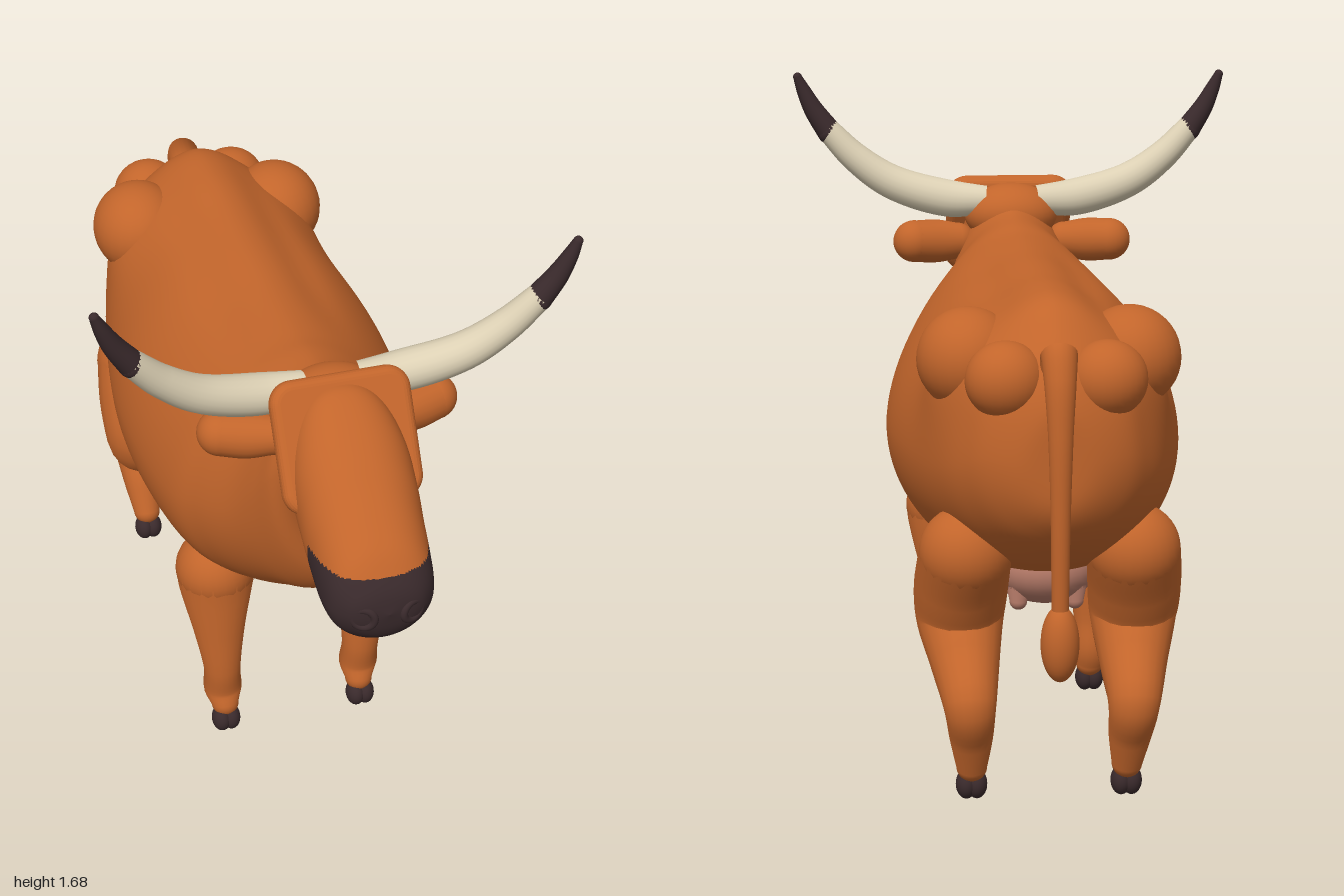
import * as THREE from 'three';

const mat = (name, color) => {
  const m = new THREE.MeshStandardMaterial({ color });
  m.name = name;
  return m;
};

// Smooth closed skin through sections [z, top, widest height, bottom, half width];
// power squares off (<1) or slims (>1) the upper half, shape moves a point, isSecond picks the second material
function loft(sections, rings, sides, { power = 1, shape = (x, y) => [x, y], isSecond = () => false }) {
  const curve = (...k) => new THREE.CatmullRomCurve3(
    sections.map(s => new THREE.Vector3(...k.map(i => s[i]))), false, 'catmullrom');
  const a = curve(0, 1, 2), b = curve(0, 3, 4);
  const pos = [], first = [], second = [];
  for (let i = 0; i <= rings; i++) {
    const p = a.getPoint(i / rings), q = b.getPoint(i / rings);
    for (let j = 0; j < sides; j++) {
      const t = j / sides * Math.PI * 2, c = Math.cos(t), s = Math.sin(t), e = s > 0 ? power : 1;
      const x = q.z * Math.sign(c) * Math.abs(c) ** e;
      const y = p.z + (s > 0 ? p.y - p.z : p.z - q.y) * Math.sign(s) * Math.abs(s) ** e;
      pos.push(...shape(x, y, p.x), p.x);
    }
  }
  const put = (...tri) => {
    const mean = k => (pos[tri[0] * 3 + k] + pos[tri[1] * 3 + k] + pos[tri[2] * 3 + k]) / 3;
    (isSecond(mean(1), mean(2)) ? second : first).push(...tri);
  };
  for (let i = 0; i < rings; i++) for (let j = 0; j < sides; j++) {
    const k = (j + 1) % sides, o = i * sides, n = o + sides;
    put(o + j, o + k, n + j);
    put(o + k, n + k, n + j);
  }
  const g = new THREE.BufferGeometry();
  g.setAttribute('position', new THREE.Float32BufferAttribute(pos, 3));
  g.setIndex([...first, ...second]);
  g.addGroup(0, first.length, 0);
  g.addGroup(first.length, second.length, 1);
  g.computeVertexNormals();
  return g;
}

// Tube through points [x, y, z, radius]
function taperTube(pts, n = 32, sides = 20) {
  const path = new THREE.CatmullRomCurve3(pts.map(p => new THREE.Vector3(p[0], p[1], p[2])));
  const radii = new THREE.CatmullRomCurve3(pts.map((p, i) => new THREE.Vector3(p[3], i, 0)), false, 'catmullrom');
  const g = new THREE.TubeGeometry(path, n, 1, sides), pos = g.attributes.position;
  const v = new THREE.Vector3();
  for (let i = 0; i <= n; i++) {
    const c = path.getPointAt(i / n), r = radii.getPoint(path.getUtoTmapping(i / n)).x;
    for (let j = 0; j <= sides; j++) {
      const k = i * (sides + 1) + j;
      v.fromBufferAttribute(pos, k).sub(c).multiplyScalar(r).add(c);
      pos.setXYZ(k, v.x, v.y, v.z);
    }
  }
  return g;
}

// Rounded plate, centred, with softened rims
function roundedPlate(w, h, depth, r, bevel) {
  const x = w / 2 - bevel, y = h / 2 - bevel, s = new THREE.Shape();
  s.absarc(x - r, y - r, r, 0, Math.PI / 2);
  s.absarc(r - x, y - r, r, Math.PI / 2, Math.PI);
  s.absarc(r - x, r - y, r, Math.PI, Math.PI * 1.5);
  s.absarc(x - r, r - y, r, Math.PI * 1.5, Math.PI * 2);
  return new THREE.ExtrudeGeometry(s, {
    depth: depth - 2 * bevel, bevelSize: bevel, bevelThickness: bevel, bevelSegments: 5, curveSegments: 8,
  }).translate(0, 0, bevel - depth / 2);
}

export function createModel() {
  const model = new THREE.Group();
  model.name = 'longhornCow';
  const hide = mat('russet hide', 0xc2652b), dark = mat('dark horn and muzzle', 0x3a2a2c);
  const ivory = mat('ivory horn', 0xdcd0b4), pink = mat('udder pink', 0xb57a68);

  const add = (name, geo, material) => {
    const m = new THREE.Mesh(geo, material);
    m.name = name;
    model.add(m);
    return m;
  };
  const ball = (name, material, [x, y, z], [rx, ry, rz]) => {
    const m = add(name, new THREE.SphereGeometry(1, 28, 20), material);
    m.position.set(x, y, z);
    m.scale.set(rx, ry, rz);
  };
  const limb = (name, pts, material) => {
    add(name, taperTube(pts), material);
    for (const [x, y, z, r] of [pts[0], pts[pts.length - 1]]) ball(name + 'End', material, [x, y, z], [r, r, r]);
  };

  // Barrel, chest and neck: soft grooves beside the spine, swellings around hip and pin bones
  const bell = (...d) => Math.exp(-d.reduce((sum, v) => sum + v * v, 0));
  const flesh = (x, y, z) => {
    const ax = Math.abs(x);
    const swell = 1 + 0.14 * bell((ax - 0.22) / 0.12, (y - 1.1) / 0.14, (z + 0.65) / 0.15)
      + 0.1 * bell((ax - 0.14) / 0.09, (y - 1.09) / 0.1, (z + 0.86) / 0.1);
    const groove = y > 1 ? 0.014 * bell((ax - 0.115) / 0.05, ((z + 0.3) / 0.4) ** 2) : 0;
    return [x * swell, y - groove];
  };
  add('body', loft([
    [-0.945, 0.95, 0.92, 0.89, 0], [-0.94, 1.04, 0.9, 0.79, 0.09], [-0.9, 1.13, 0.9, 0.72, 0.17],
    [-0.84, 1.2, 0.88, 0.665, 0.22], [-0.75, 1.262, 0.86, 0.61, 0.265], [-0.6, 1.275, 0.84, 0.555, 0.31],
    [-0.4, 1.27, 0.83, 0.51, 0.35], [-0.2, 1.27, 0.83, 0.49, 0.373], [0, 1.27, 0.83, 0.49, 0.368],
    [0.2, 1.28, 0.83, 0.515, 0.337], [0.3, 1.295, 0.86, 0.555, 0.29], [0.4, 1.31, 0.9, 0.62, 0.23],
    [0.48, 1.335, 1.0, 0.675, 0.19], [0.53, 1.35, 1.08, 0.76, 0.165], [0.555, 1.35, 1.12, 0.9, 0.14],
    [0.62, 1.32, 1.15, 1.02, 0.1],
  ], 90, 96, { power: 1.13, shape: flesh }), hide);

  // Head with a dark muzzle
  add('head', loft([
    [0.46, 1.22, 1.2, 1.18, 0.01], [0.53, 1.35, 1.2, 1.05, 0.1], [0.6, 1.38, 1.2, 1.01, 0.13],
    [0.68, 1.345, 1.17, 0.955, 0.147], [0.76, 1.29, 1.11, 0.935, 0.148], [0.82, 1.24, 1.06, 0.9, 0.144],
    [0.88, 1.19, 1.02, 0.882, 0.14], [0.935, 1.14, 1.0, 0.888, 0.13], [0.97, 1.09, 1.0, 0.91, 0.105],
    [0.99, 1.05, 1.0, 0.945, 0.07], [1.0, 1.0, 1.0, 1.0, 0],
  ], 120, 96, { power: 0.88, isSecond: (y, z) => z > 0.805 && y < 1.09 }), [hide, dark]);
  ball('poll', hide, [0, 1.295, 0.525], [0.13, 0.085, 0.105]);

  // Forehead plate running down beside the cheeks
  const plate = add('foreheadPlate', roundedPlate(0.35, 0.325, 0.054, 0.035, 0.022), hide);
  plate.position.set(0, 1.253, 0.637);
  plate.rotation.x = -0.56;

  for (const s of [1, -1]) {
    const side = s > 0 ? 'left' : 'right';

    // Nostril rim
    const nostril = add(side + 'Nostril', new THREE.TorusGeometry(0.026, 0.01, 12, 28), dark);
    nostril.position.set(s * 0.06, 0.99, 0.984);
    nostril.rotation.y = s * 0.4;

    // Ear
    limb(side + 'Ear', [[s * 0.15, 1.22, 0.525, 0.05], [s * 0.21, 1.222, 0.508, 0.06], [s * 0.272, 1.225, 0.488, 0.058]], hide);

    // Horn with dark tip
    add(side + 'Horn', taperTube([
      [s * 0.07, 1.335, 0.508, 0.04], [s * 0.18, 1.341, 0.517, 0.052], [s * 0.33, 1.385, 0.538, 0.048],
      [s * 0.43, 1.452, 0.552, 0.041], [s * 0.507, 1.53, 0.565, 0.033],
    ]), ivory);
    limb(side + 'HornTip', [
      [s * 0.502, 1.523, 0.564, 0.034], [s * 0.545, 1.585, 0.57, 0.027],
      [s * 0.573, 1.64, 0.574, 0.019], [s * 0.588, 1.675, 0.575, 0.012],
    ], dark);

    // Front leg
    limb(side + 'FrontLeg', [
      [s * 0.208, 0.55, 0.175, 0.105], [s * 0.207, 0.49, 0.176, 0.097], [s * 0.202, 0.35, 0.182, 0.07],
      [s * 0.196, 0.21, 0.187, 0.05], [s * 0.193, 0.13, 0.18, 0.052], [s * 0.191, 0.085, 0.195, 0.037],
    ], hide);

    // Hind leg
    limb(side + 'HindLeg', [
      [s * 0.205, 0.635, -0.69, 0.114], [s * 0.213, 0.54, -0.636, 0.116], [s * 0.214, 0.445, -0.602, 0.108],
      [s * 0.207, 0.355, -0.673, 0.086], [s * 0.2, 0.265, -0.76, 0.064], [s * 0.195, 0.175, -0.72, 0.053],
      [s * 0.192, 0.09, -0.684, 0.038],
    ], hide);

    // Cloven hooves
    for (const [name, z] of [['FrontHoof', 0.207], ['HindHoof', -0.672]])
      for (const d of [-0.013, 0.013]) ball(side + name, dark, [s * 0.192 + d, 0.041, z], [0.026, 0.037, 0.034]);

    // Hip and pin bones
    ball(side + 'Hip', hide, [s * 0.195, 1.105, -0.655], [0.125, 0.125, 0.135]);
    ball(side + 'PinBone', hide, [s * 0.12, 1.088, -0.85], [0.096, 0.093, 0.092]);

    // Teats
    for (const z of [-0.485, -0.6]) limb(side + 'Teat', [[s * 0.068, 0.53, z, 0.032], [s * 0.07, 0.485, z, 0.022]], pink);
  }
  ball('udder', pink, [0, 0.56, -0.55], [0.13, 0.09, 0.12]);

  // Tail and tuft
  limb('tail', [
    [0, 1.11, -0.88, 0.042], [0, 1.16, -0.91, 0.044], [0, 1.1, -0.942, 0.038], [0, 0.98, -0.958, 0.03],
    [0, 0.8, -0.961, 0.024], [0, 0.54, -0.952, 0.02],
  ], hide);
  ball('tailTuft', hide, [0, 0.475, -0.95], [0.046, 0.093, 0.049]);

  return model;
}
